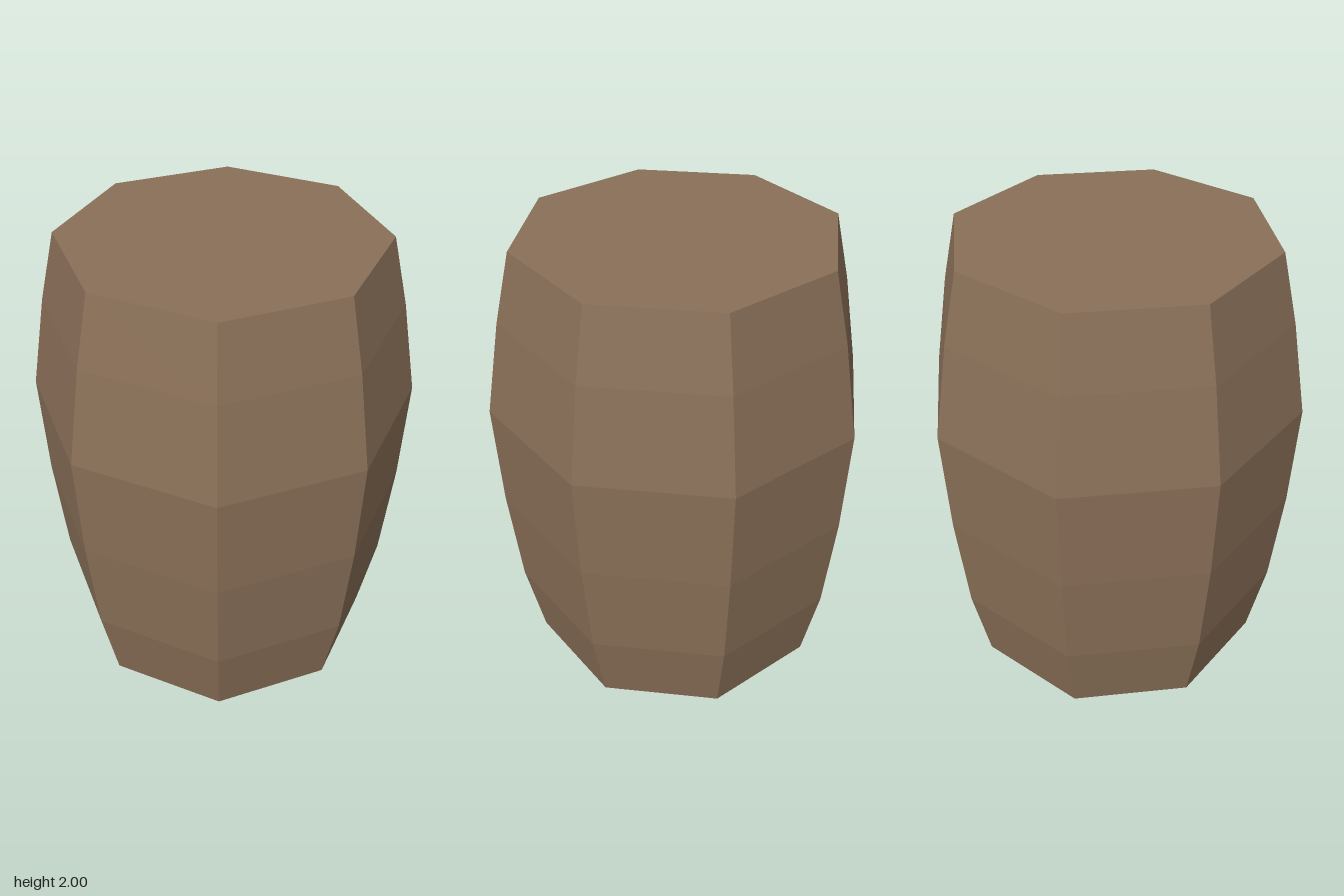
import * as THREE from 'three';

const SIDES = 8;
const HEIGHT = 2;
const END_RADIUS = 0.675;

export function createModel() {
  const group = new THREE.Group();
  group.name = 'barrel';

  const wood = new THREE.MeshStandardMaterial({ color: 0x8a7058, flatShading: true });
  wood.name = 'brown wood';

  // Bulging eight-sided wall, widest above the middle
  const profile = [
    [END_RADIUS, 0], [0.75, 0.36], [0.795, 0.82],
    [0.816, 1.29], [0.745, 1.7], [END_RADIUS, HEIGHT],
  ].map(([r, y]) => new THREE.Vector2(r, y));
  const wall = new THREE.Mesh(new THREE.LatheGeometry(profile, SIDES), wood);
  wall.name = 'barrelWall';
  group.add(wall);

  // Flat ends
  const addEnd = (name, y, tilt) => {
    const end = new THREE.Mesh(new THREE.CircleGeometry(END_RADIUS, SIDES), wood);
    end.name = name;
    end.rotation.x = tilt;
    end.position.y = y;
    group.add(end);
  };
  addEnd('lid', HEIGHT, -Math.PI / 2);
  addEnd('base', 0, Math.PI / 2);

  return group;
}
